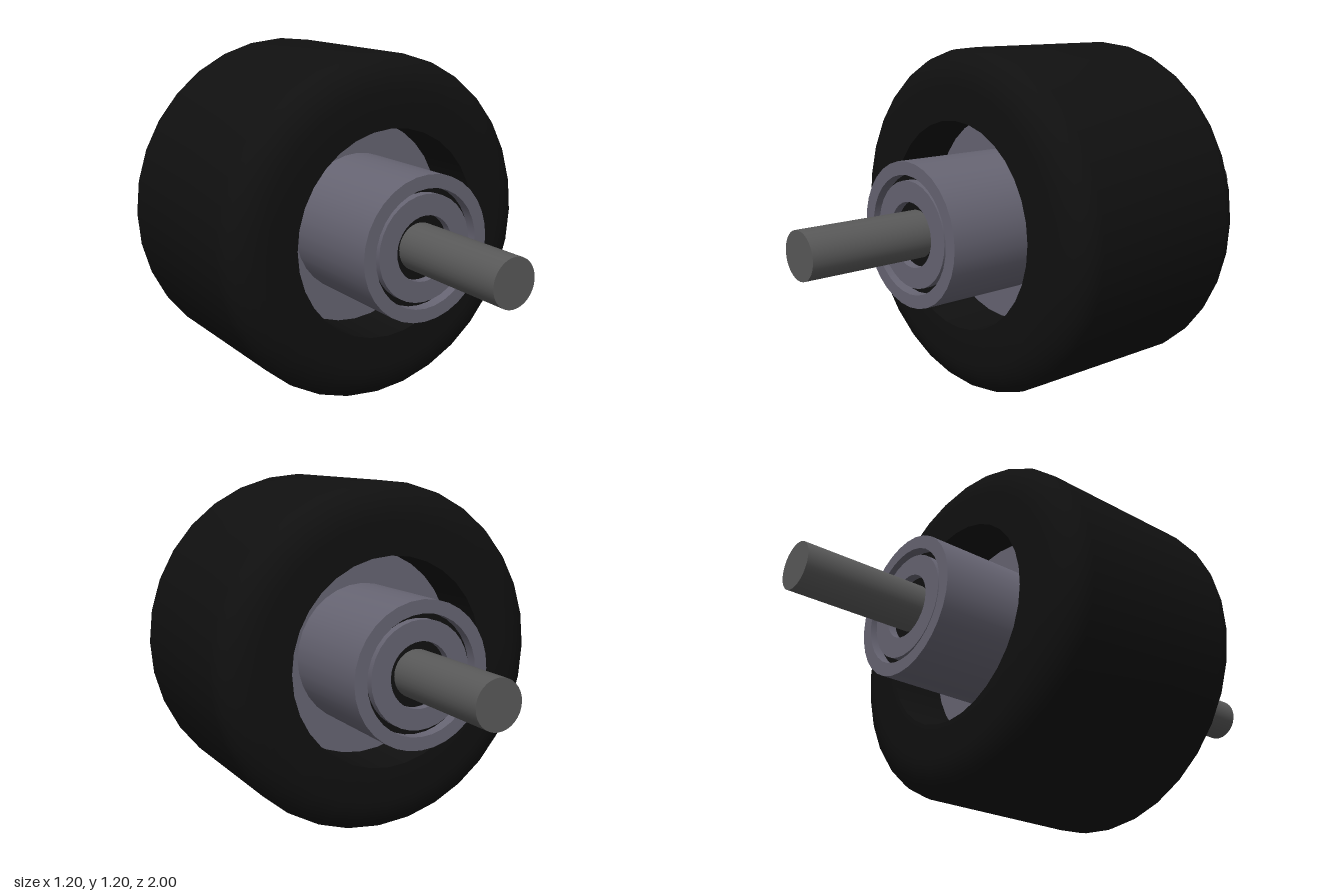
import * as THREE from 'three';
import { toCreasedNormals } from 'three/addons/utils/BufferGeometryUtils.js';

const SIDES = 32;
const rubber = new THREE.MeshStandardMaterial({ color: 0x101010 });
const metal = new THREE.MeshStandardMaterial({ color: 0x666472 });
const steel = new THREE.MeshStandardMaterial({ color: 0x595959 });

// Turns a [radius, z] profile about the z axis; profiles run from -z to +z on the outside
function turned(name, profile, material) {
  const points = profile.map(([r, z]) => new THREE.Vector2(r, z));
  const geometry = new THREE.LatheGeometry(points, SIDES).rotateX(Math.PI / 2);
  const mesh = new THREE.Mesh(toCreasedNormals(geometry, 0.6), material);
  mesh.name = name;
  return mesh;
}

// Closed ring with a rectangular section
function ring(name, inner, outer, z0, z1, material) {
  return turned(name, [[inner, z0], [outer, z0], [outer, z1], [inner, z1], [inner, z0]], material);
}

// Wide tyre with elliptical shoulders and an open bore
function tyre() {
  const steps = 7;
  const shoulder = [];
  for (let i = 0; i <= steps; i++) {
    const a = (i / steps) * Math.PI / 2;
    shoulder.push([0.47 + 0.13 * Math.cos(a), 0.3 + 0.1 * Math.sin(a)]);
  }
  const back = shoulder.map(([r, z]) => [r, -z]).reverse();
  return turned('tyre', [[0.36, -0.4], ...back, ...shoulder, [0.36, 0.4], [0.36, -0.4]], rubber);
}

export function createModel() {
  const model = new THREE.Group();
  model.name = 'wheel';
  const wheel = new THREE.Group();
  wheel.name = 'wheelAssembly';
  wheel.position.y = 0.6;
  model.add(wheel);

  wheel.add(tyre());

  // Recessed web inside the tyre and the hub barrel through it
  wheel.add(ring('hubWeb', 0.22, 0.36, -0.2, 0.2, metal));
  wheel.add(ring('hubBarrel', 0.2, 0.245, -0.6, 0.6, metal));

  // A bearing in each end of the barrel: dark seal behind an inner race
  for (const side of [1, -1]) {
    const bearing = new THREE.Group();
    bearing.name = side > 0 ? 'frontBearing' : 'backBearing';
    bearing.add(ring('bearingSeal', 0.075, 0.2, 0.5, 0.56, rubber));
    bearing.add(ring('bearingRace', 0.11, 0.18, 0.54, 0.59, metal));
    if (side < 0) bearing.rotation.y = Math.PI;
    wheel.add(bearing);
  }

  // Axle through the whole wheel
  wheel.add(turned('axle', [[0, -1], [0.08, -1], [0.08, 1], [0, 1]], steel));

  return model;
}
